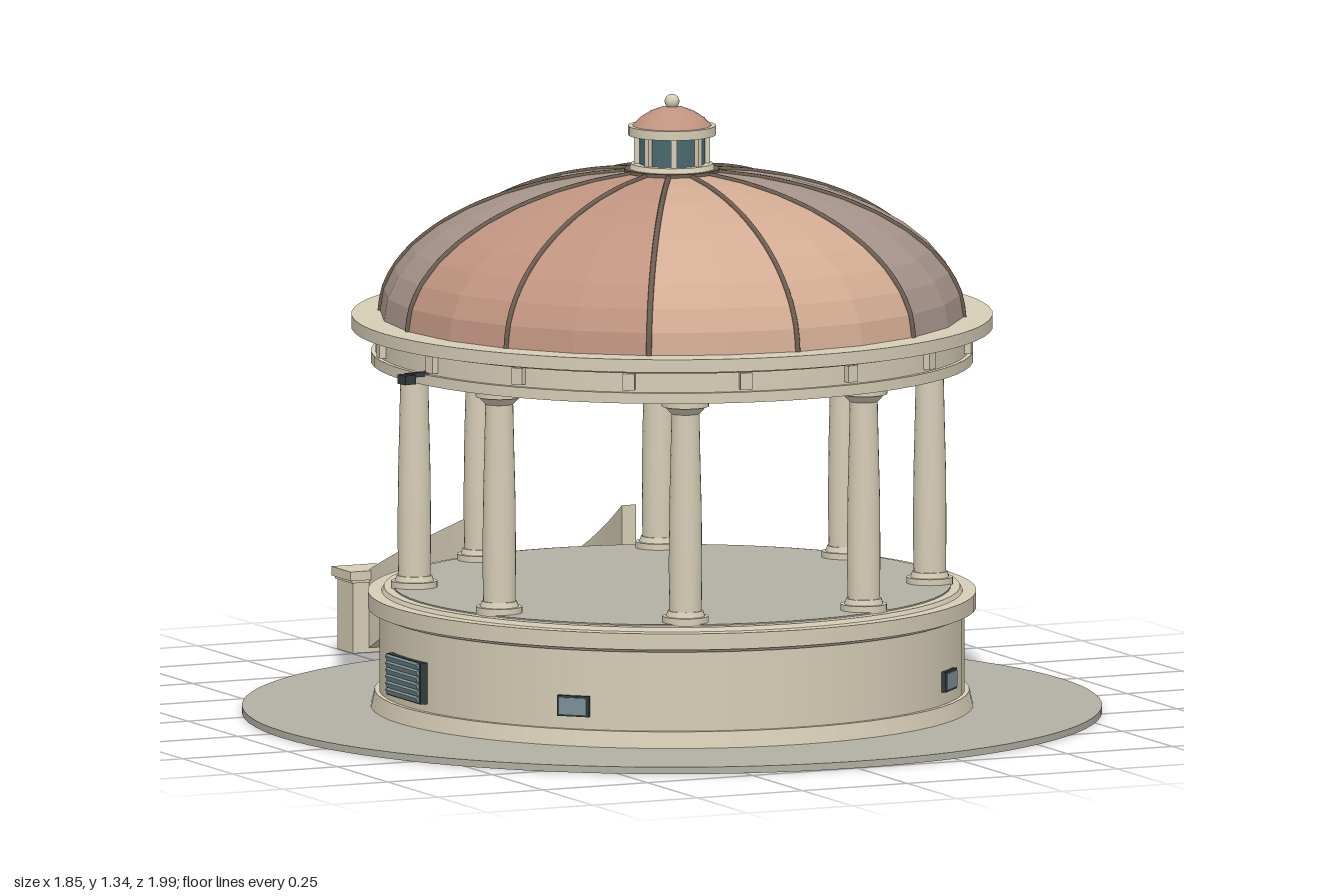
import * as THREE from 'three';

const mat = (color, extra = {}) => new THREE.MeshStandardMaterial({ color, ...extra });
const STONE = mat(0xd6cdb6), PAVING = mat(0xb3b1a4), SLATE = mat(0x6f7f80), IRON = mat(0x343c3e);
const RIB = mat(0x6e6052), GLASS = mat(0x4a6a70), BRONZE = mat(0x8a6a50), LOUVRE = mat(0x7c9296);
const COPPER = [0xd2ab93, 0xa8958c, 0xbf9480].map(
  (c) => mat(c, { flatShading: true, side: THREE.DoubleSide }));

function add(parent, name, geometry, material, x = 0, y = 0, z = 0) {
  const mesh = new THREE.Mesh(geometry, material);
  mesh.name = name;
  mesh.position.set(x, y, z);
  parent.add(mesh);
  return mesh;
}

// Upright disc or drum between two heights
function drum(parent, name, y0, y1, rBottom, rTop, material = STONE, sides = 64) {
  const g = new THREE.CylinderGeometry(rTop, rBottom, y1 - y0, sides);
  return add(parent, name, g, material, 0, (y0 + y1) / 2, 0);
}

function box(parent, name, w, h, d, material, x, y, z) {
  return add(parent, name, new THREE.BoxGeometry(w, h, d), material, x, y, z);
}

// Group turned so that its +z points outward at the given angle from the front
function spoke(parent, name, degrees) {
  const g = new THREE.Group();
  g.name = name;
  g.rotation.y = THREE.MathUtils.degToRad(degrees);
  parent.add(g);
  return g;
}

function buildBase(p) {
  drum(p, 'groundDisc', 0, 0.015, 0.925, 0.925, PAVING, 96);
  drum(p, 'plinth', 0.015, 0.05, 0.648, 0.64);
  drum(p, 'baseDrum', 0.05, 0.225, 0.63, 0.63);
  drum(p, 'baseCornice', 0.23, 0.265, 0.655, 0.655);
  drum(p, 'baseCorniceBed', 0.222, 0.23, 0.635, 0.65);
  drum(p, 'floorKerb', 0.265, 0.274, 0.625, 0.62);
  drum(p, 'floor', 0.27, 0.277, 0.6, 0.6, PAVING);

  for (const a of [45, 135, 225, 315]) {
    const s = spoke(p, 'smallVent', a);
    box(s, 'ventFrame', 0.072, 0.045, 0.02, IRON, 0, 0.1, 0.627);
    box(s, 'ventPanel', 0.062, 0.036, 0.02, LOUVRE, 0, 0.1, 0.63);
  }
  for (const a of [90, 270]) {
    const s = spoke(p, 'largeLouvre', a);
    box(s, 'louvreFrame', 0.17, 0.09, 0.02, IRON, 0, 0.112, 0.63);
    for (let i = 0; i < 6; i++) {
      const slat = box(s, 'slat', 0.155, 0.012, 0.008, LOUVRE, 0, 0.076 + i * 0.0145, 0.641);
      slat.rotation.x = 0.4;
    }
  }
  for (const a of [160, 200])
    box(spoke(p, 'plaque', a), 'plaquePlate', 0.1, 0.065, 0.02, BRONZE, 0, 0.152, 0.632);
  box(spoke(p, 'utilityBox', 149), 'utilityCase', 0.04, 0.025, 0.025, RIB, 0, 0.122, 0.632);
}

function buildColumn(p, angle) {
  const s = spoke(p, 'column', angle);
  const c = new THREE.Group();
  c.position.z = 0.555;
  s.add(c);
  drum(c, 'columnFoot', 0.272, 0.29, 0.05, 0.05, STONE, 24);
  drum(c, 'columnFootRing', 0.29, 0.302, 0.042, 0.038, STONE, 24);
  const shaft = [[0.035, 0.3], [0.036, 0.4], [0.035, 0.52], [0.032, 0.64], [0.03, 0.735]]
    .map(([r, y]) => new THREE.Vector2(r, y));
  add(c, 'columnShaft', new THREE.LatheGeometry(shaft, 24), STONE);
  drum(c, 'columnNeck', 0.73, 0.746, 0.031, 0.046, STONE, 24);
  drum(c, 'columnCapital', 0.746, 0.766, 0.051, 0.051, STONE, 24);
}

function buildEntablature(p) {
  drum(p, 'architrave', 0.764, 0.787, 0.648, 0.648);
  drum(p, 'frieze', 0.787, 0.836, 0.638, 0.638);
  drum(p, 'topCornice', 0.838, 0.866, 0.69, 0.69);
  drum(p, 'topCorniceBed', 0.83, 0.838, 0.65, 0.68);
  for (let i = 0; i < 16; i++)
    box(spoke(p, 'friezeBlock', 11.25 + i * 22.5), 'block', 0.026, 0.036, 0.02, STONE, 0, 0.811, 0.642);
  for (const a of [99, 279]) {
    const s = spoke(p, 'lamp', a);
    box(s, 'lampArm', 0.01, 0.01, 0.06, IRON, 0, 0.788, 0.665);
    box(s, 'lampHead', 0.03, 0.02, 0.028, IRON, 0, 0.78, 0.692);
  }
}

function buildDome(p) {
  const profile = [];
  for (let i = 0; i <= 9; i++) {
    const t = (i / 9) * 1.43;
    profile.push(new THREE.Vector2(0.63 * Math.cos(t), 0.864 + 0.315 * Math.sin(t)));
  }
  const ribPath = new THREE.CatmullRomCurve3(profile.map((v) => new THREE.Vector3(0, v.y, v.x)));
  for (let i = 0; i < 12; i++) {
    // Neighbouring gores share a colour in pairs
    const tint = COPPER[Math.floor((i + 1) % 12 / 2) % 3];
    add(p, 'domeGore', new THREE.LatheGeometry(profile, 2, (i - 0) * Math.PI / 6, Math.PI / 6),
      COPPER[[0, 1, 1, 2, 2, 0][i % 6]] || tint);
    add(spoke(p, 'domeRib', i * 30), 'rib', new THREE.TubeGeometry(ribPath, 24, 0.006, 6), RIB);
  }
}

function buildLantern(p) {
  drum(p, 'lanternBase', 1.165, 1.182, 0.102, 0.102, RIB, 32);
  drum(p, 'lanternSill', 1.182, 1.193, 0.092, 0.088, STONE, 32);
  drum(p, 'lanternGlass', 1.193, 1.256, 0.072, 0.072, GLASS, 16);
  for (let i = 0; i < 8; i++)
    box(spoke(p, 'lanternPost', 22.5 + i * 45), 'post', 0.012, 0.064, 0.012, STONE, 0, 1.224, 0.076);
  drum(p, 'lanternCornice', 1.255, 1.275, 0.095, 0.095, STONE, 32);
  const cap = [[0.085, 1.275], [0.07, 1.291], [0.048, 1.305], [0.025, 1.314], [0, 1.317]]
    .map(([r, y]) => new THREE.Vector2(r, y));
  add(p, 'lanternCap', new THREE.LatheGeometry(cap, 24), COPPER[2]);
  add(p, 'finialBall', new THREE.SphereGeometry(0.016, 16, 12), STONE, 0, 1.327, 0);
}

// Sloping parapet that flares outward toward the foot of the stairs
function cheekGeometry(side) {
  const g = new THREE.BoxGeometry(0.034, 1, 1, 1, 1, 10);
  const pos = g.attributes.position;
  for (let i = 0; i < pos.count; i++) {
    const t = 0.5 - pos.getZ(i);
    const low = 0.215 - 0.19 * t, high = 0.36 - 0.165 * t;
    pos.setXYZ(i,
      pos.getX(i) + side * (0.18 + 0.057 * Math.sin(t * Math.PI / 2)),
      THREE.MathUtils.lerp(low, high, pos.getY(i) + 0.5),
      -0.52 - 0.39 * t);
  }
  g.computeVertexNormals();
  return g;
}

function buildStairs(p) {
  const steps = 8, run = 0.052;
  for (let i = 0; i < steps; i++) {
    const top = 0.042 + i * 0.0295, z0 = -0.965 + i * run, z1 = -0.5;
    box(p, 'step', 0.33, top - 0.015, z1 - z0, SLATE, 0, (top + 0.015) / 2, (z0 + z1) / 2);
    box(p, 'stepNosing', 0.334, 0.006, 0.01, SLATE, 0, top - 0.003, z0);
  }
  for (const side of [-1, 1]) {
    add(p, 'stairParapet', cheekGeometry(side), STONE);
    const x = side * 0.25;
    box(p, 'pier', 0.084, 0.16, 0.076, STONE, x, 0.095, -0.948);
    box(p, 'pierCap', 0.104, 0.02, 0.096, STONE, x, 0.184, -0.948);
    box(p, 'pierCapBed', 0.092, 0.008, 0.084, STONE, x, 0.172, -0.948);
    box(p, 'pierPanel', 0.036, 0.07, 0.008, STONE, x, 0.105, -0.987);
  }
  // Low iron gate at the foot of the stairs
  for (const y of [0.045, 0.1]) box(p, 'gateRail', 0.21, 0.008, 0.008, IRON, 0, y, -0.985);
  for (let i = 0; i < 7; i++)
    box(p, 'gateBar', 0.007, 0.1, 0.007, IRON, -0.099 + i * 0.033, 0.075, -0.985);
}

export function createModel() {
  const model = new THREE.Group();
  model.name = 'pavilion';
  const rotunda = new THREE.Group();
  rotunda.name = 'rotunda';
  rotunda.position.z = 0.073;
  model.add(rotunda);
  buildBase(rotunda);
  for (let i = 0; i < 8; i++) buildColumn(rotunda, 22.5 + i * 45);
  buildEntablature(rotunda);
  buildDome(rotunda);
  buildLantern(rotunda);
  const stairs = new THREE.Group();
  stairs.name = 'stairs';
  model.add(stairs);
  buildStairs(stairs);
  return model;
}
